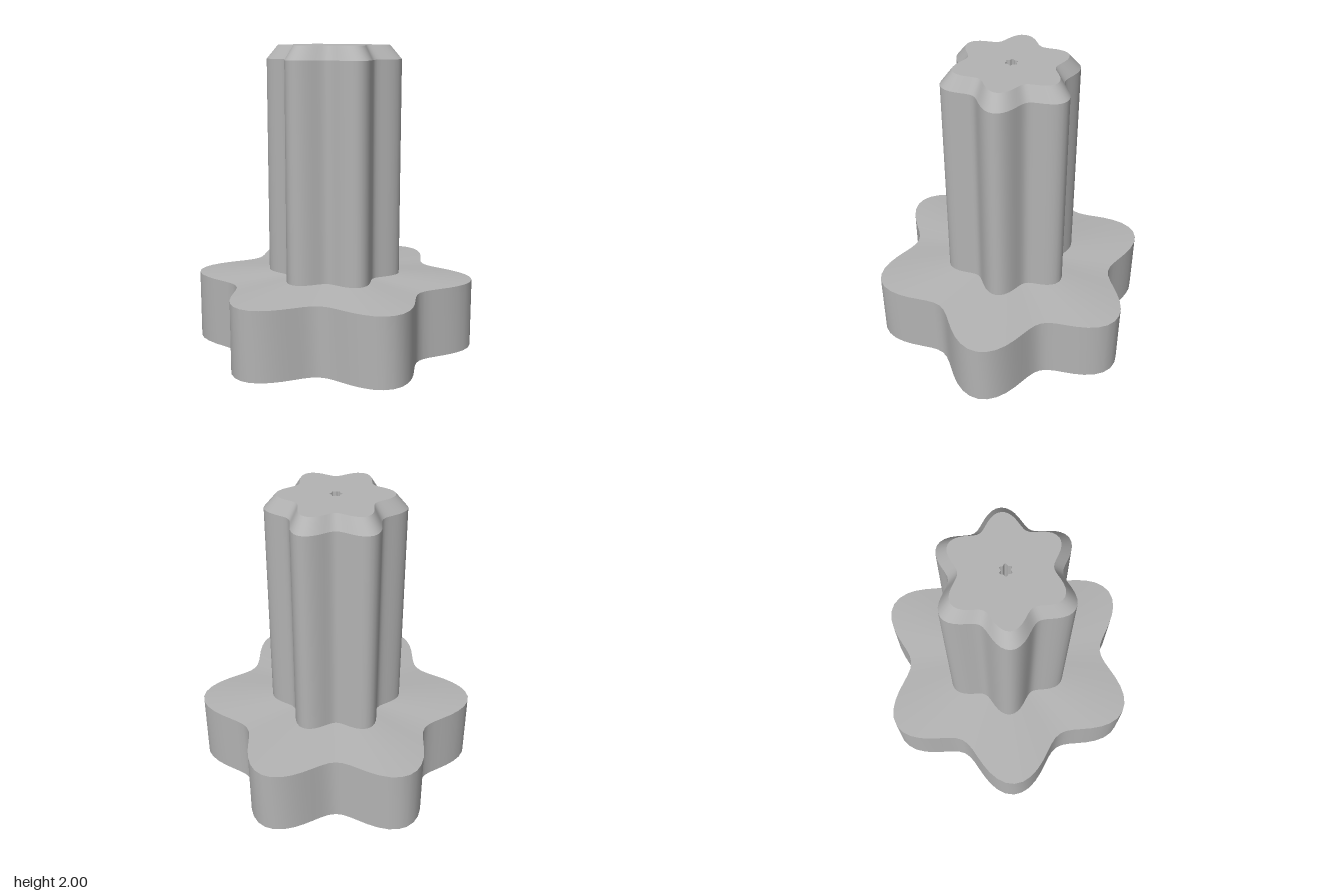
import * as THREE from 'three';
import { mergeVertices, mergeGeometries } from 'three/addons/utils/BufferGeometryUtils.js';

const SEGMENTS = 96;

// Six-lobed outline: 1 at the lobe tips, lower in the valleys.
const lobe = (angle) => 0.871 + 0.129 * Math.cos(6 * angle);

// One band between two rings [tip radius, height], smooth around, sharp at its rims.
function band([r0, y0], [r1, y1]) {
  const geo = new THREE.LatheGeometry(
    [new THREE.Vector2(r0, y0), new THREE.Vector2(r1, y1)], SEGMENTS);
  const pos = geo.attributes.position;
  for (let i = 0; i < pos.count; i++) {
    const x = pos.getX(i), z = pos.getZ(i);
    const k = lobe(Math.atan2(z, x));
    pos.setX(i, x * k);
    pos.setZ(i, z * k);
  }
  geo.deleteAttribute('normal');
  geo.deleteAttribute('uv');
  const welded = mergeVertices(geo, 1e-5);
  welded.computeVertexNormals();
  return welded;
}

// Chain of bands following a profile.
function lobedPart(name, profile, material) {
  const bands = profile.slice(1).map((p, i) => band(profile[i], p));
  const mesh = new THREE.Mesh(mergeGeometries(bands), material);
  mesh.name = name;
  return mesh;
}

export function createModel() {
  const group = new THREE.Group();
  group.name = 'lobedKnob';
  const grey = new THREE.MeshStandardMaterial({ color: 0xb3b3b3 });
  grey.name = 'grey';

  const bore = 0.04;
  group.add(
    // Wide base: underside, wall, gently sloping top
    lobedPart('base', [[bore, 0], [0.93, 0], [0.93, 0.457], [0.443, 0.487]], grey),
    // Shaft: wall, chamfer, flat end
    lobedPart('shaft', [[0.443, 0.487], [0.443, 1.91], [0.366, 2], [bore, 2]], grey),
    // Narrow hole right through the middle
    lobedPart('bore', [[bore, 2], [bore, 0]], grey),
  );
  return group;
}
